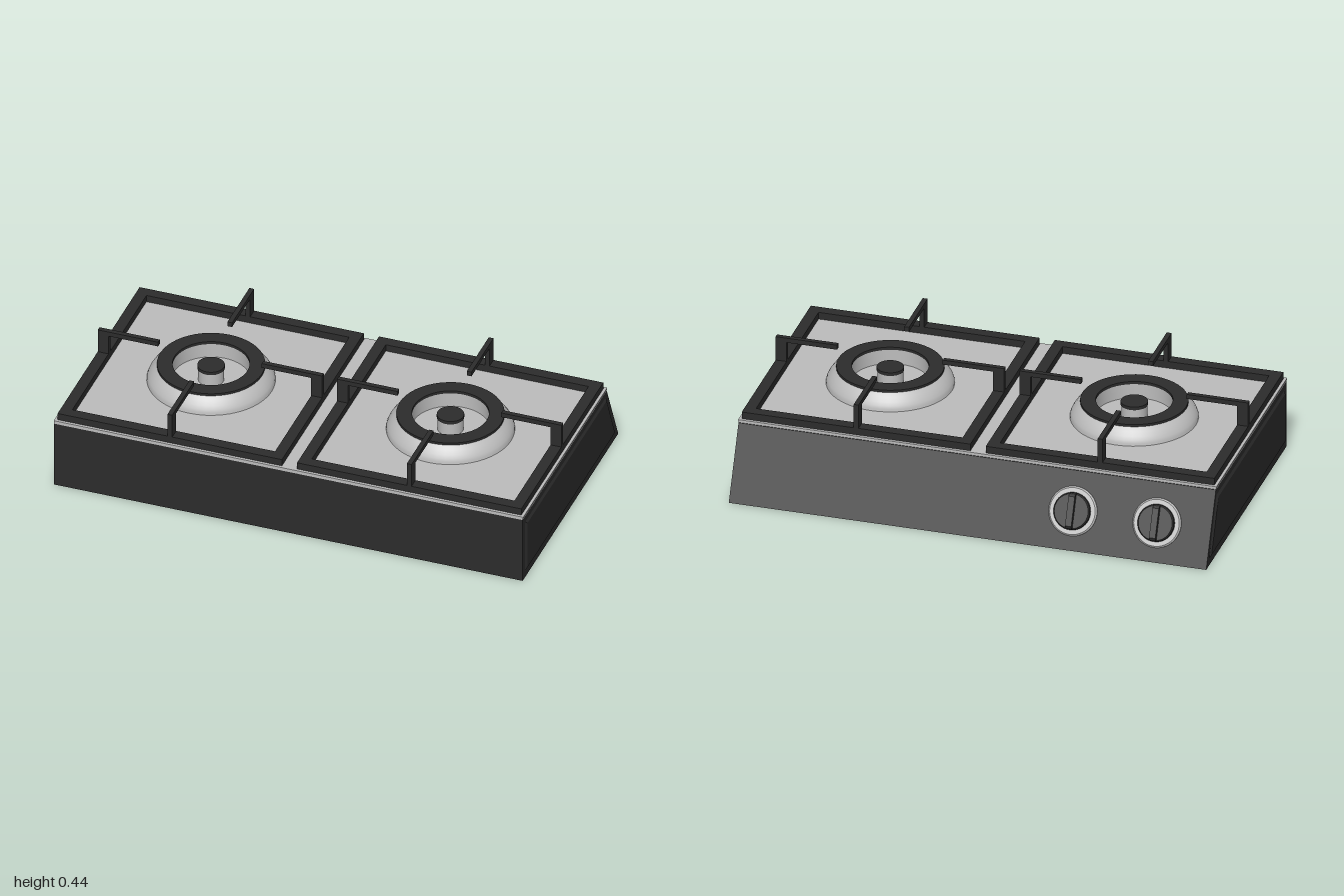
import * as THREE from 'three';
import { toCreasedNormals } from 'three/addons/utils/BufferGeometryUtils.js';

export function createModel() {
  const model = new THREE.Group();
  model.name = 'gasStove';
  const black = new THREE.MeshStandardMaterial({ color: 0x2c2c2c });
  black.name = 'black enamel';
  const steel = new THREE.MeshStandardMaterial({ color: 0xbdbdbd });
  steel.name = 'brushed steel';

  const add = (parent, name, geometry, material, x = 0, y = 0, z = 0) => {
    const mesh = new THREE.Mesh(geometry, material);
    mesh.name = name;
    mesh.position.set(x, y, z);
    parent.add(mesh);
    return mesh;
  };
  const box = (parent, name, material, w, h, d, x, y, z) =>
    add(parent, name, new THREE.BoxGeometry(w, h, d), material, x, y, z);
  const lathe = (points, segments = 48) => toCreasedNormals(
    new THREE.LatheGeometry(points.map(([r, y]) => new THREE.Vector2(r, y)), segments), 0.5);

  // Side profile given as [z, y], extruded across the width
  const acrossX = (points, width, bevel) => {
    const shape = new THREE.Shape(points.map(([z, y]) => new THREE.Vector2(-z, y)));
    const g = new THREE.ExtrudeGeometry(shape, {
      depth: width, bevelEnabled: !!bevel, bevelSegments: 1,
      bevelSize: bevel ? 0.011 : 0, bevelThickness: bevel || 0,
    });
    return g.translate(0, 0, -width / 2).rotateY(Math.PI / 2);
  };

  // Housing with sloping control face, and raised panels on both ends
  add(model, 'housing', acrossX([[0.56, 0], [-0.55, 0], [-0.416, 0.293], [0.56, 0.293]], 1.988), black);
  add(model, 'sidePanels', acrossX([[0.52, 0.041], [-0.495, 0.041], [-0.4, 0.255], [0.52, 0.255]], 1.988, 0.006), black);

  // Steel worktop in two thin layers
  box(model, 'worktopEdge', steel, 1.988, 0.007, 0.973, 0, 0.2965, 0.0735);
  box(model, 'worktop', steel, 1.992, 0.007, 0.976, 0, 0.3035, 0.072);

  const makeBurner = () => {
    const burner = new THREE.Group();
    burner.name = 'burner';
    add(burner, 'burnerBowl', lathe([[0.257, 0], [0.256, 0.01], [0.251, 0.023], [0.243, 0.036],
      [0.231, 0.052], [0.216, 0.066], [0.156, 0.066], [0.156, 0.001]]), steel);
    add(burner, 'burnerRing', lathe([[0.154, 0.064], [0.216, 0.064], [0.216, 0.076],
      [0.154, 0.076], [0.154, 0.064]]), black);
    add(burner, 'burnerStem', new THREE.CylinderGeometry(0.052, 0.052, 0.056, 32), steel, 0, 0.028, 0);
    add(burner, 'burnerCap', new THREE.CylinderGeometry(0.055, 0.055, 0.014, 32), black, 0, 0.063, 0);
    return burner;
  };

  const makeGrate = () => {
    const grate = new THREE.Group();
    grate.name = 'grate';
    const half = 0.476, bar = 0.046;
    for (let i = 0; i < 4; i++) {
      // One frame side with its post and pot finger, turned to each side
      const side = new THREE.Group();
      side.name = 'grateSide';
      side.rotation.y = i * Math.PI / 2;
      const length = i % 2 ? 2 * half - 2 * bar : 2 * half;
      box(side, 'frameBar', black, length, 0.03, bar, 0, 0.015, half - bar / 2);
      box(side, 'post', black, 0.02, 0.105, bar, 0, 0.0825, half - bar / 2);
      box(side, 'potFinger', black, 0.02, 0.02, 0.21, 0, 0.125, half - bar - 0.105);
      grate.add(side);
    }
    return grate;
  };

  for (const x of [-0.508, 0.508]) {
    const burner = makeBurner();
    burner.position.set(x, 0.307, 0.068);
    const grate = makeGrate();
    grate.position.set(x, 0.307, 0.072);
    model.add(burner, grate);
  }

  // Knobs: local y points out of the sloping face, local z runs down it
  const makeKnob = () => {
    const knob = new THREE.Group();
    knob.name = 'controlKnob';
    add(knob, 'knobPlate', lathe([[0.1, 0], [0.1, 0.005], [0.094, 0.011], [0, 0.011]]), steel);
    add(knob, 'knobBase', lathe([[0.076, 0.008], [0.075, 0.024], [0.07, 0.03], [0, 0.03]]), black);
    const grip = new THREE.Shape([[-0.072, 0.01], [0.072, 0.01], [0.072, 0.034], [0.068, 0.044],
      [0.06, 0.05], [-0.06, 0.05], [-0.068, 0.044], [-0.072, 0.034]].map(([x, y]) => new THREE.Vector2(x, y)));
    add(knob, 'knobGrip', new THREE.ExtrudeGeometry(grip, { depth: 0.026, bevelEnabled: false })
      .translate(0, 0, -0.013).rotateY(Math.PI / 2), black);
    return knob;
  };
  for (const x of [-0.77, -0.42]) {
    const knob = makeKnob();
    knob.position.set(x, 0.145, -0.484);
    knob.rotation.x = -Math.atan2(0.293, 0.134);
    model.add(knob);
  }

  return model;
}
